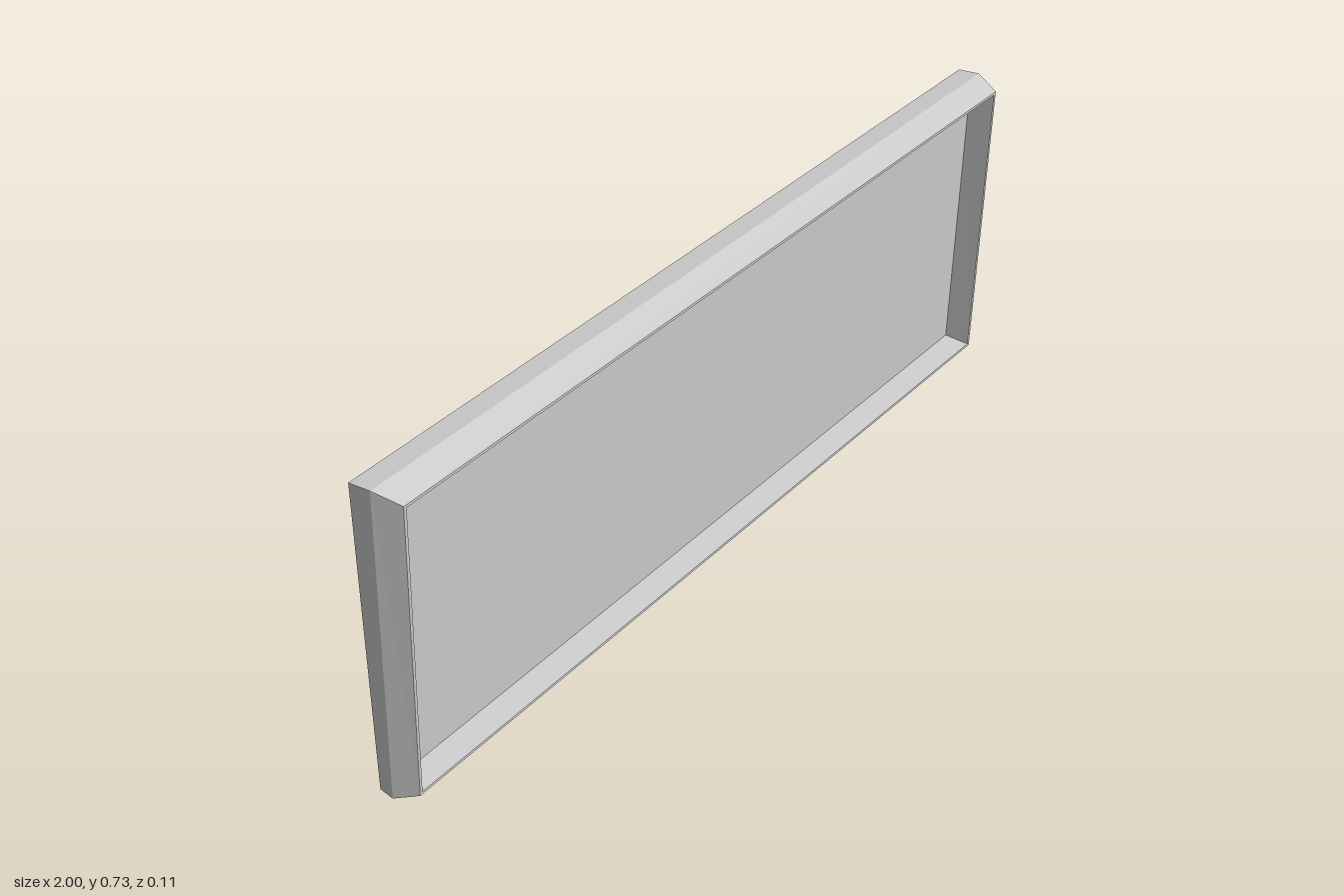
import * as THREE from 'three';

const material = new THREE.MeshStandardMaterial({ color: 0xcccccc, flatShading: true });

// Rectangular ring: half width, then y and z of its bottom and top edges
function ring([w, y0, z0, y1, z1]) {
  return [[-w, y0, z0], [w, y0, z0], [w, y1, z1], [-w, y1, z1]];
}

// Skin consecutive rings, optionally closing the first and the last one
function loft(name, sections, capFirst, capLast) {
  const rings = sections.map(ring);
  const pos = [];
  const quad = (a, b, c, d) => pos.push(...a, ...b, ...c, ...a, ...c, ...d);
  for (let k = 0; k < rings.length - 1; k++) {
    const a = rings[k], b = rings[k + 1];
    for (let i = 0; i < 4; i++) {
      const j = (i + 1) % 4;
      quad(a[i], a[j], b[j], b[i]);
    }
  }
  if (capFirst) {
    const [a, b, c, d] = rings[0];
    quad(d, c, b, a);
  }
  if (capLast) quad(...rings[rings.length - 1]);
  const geometry = new THREE.BufferGeometry();
  geometry.setAttribute('position', new THREE.Float32BufferAttribute(pos, 3));
  geometry.computeVertexNormals();
  const mesh = new THREE.Mesh(geometry, material);
  mesh.name = name;
  return mesh;
}

export function createModel() {
  const group = new THREE.Group();
  group.name = 'framedPanel';

  const seam = [1, 0, -0.024, 0.73, -0.003];
  const inner = [0.965, 0.036, -0.027, 0.698, -0.004];

  // Wedge-shaped housing with a flat vertical back
  group.add(loft('backHousing', [[1, 0.007, -0.055, 0.725, -0.055], seam], true, false));

  // Tilted frame: chamfered outside, narrow lip, recessed inner walls
  group.add(loft('frontFrame', [
    seam,
    [0.98, 0.022, 0.03, 0.71, 0.055],
    [0.973, 0.028, 0.03, 0.704, 0.055],
    inner,
  ], false, false));

  // Flat panel at the bottom of the recess
  group.add(loft('recessedPanel', [inner], false, true));

  return group;
}
